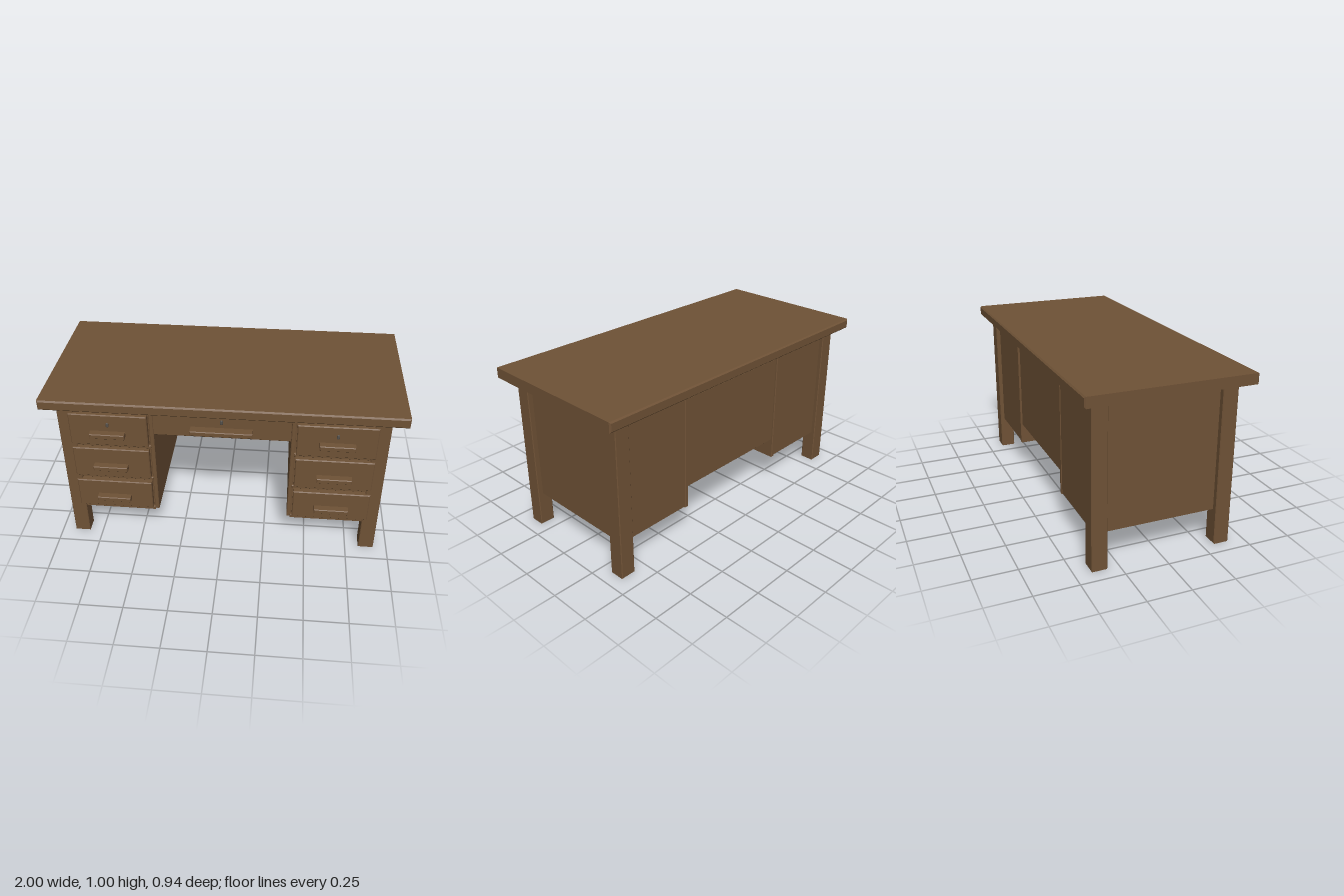
import * as THREE from 'three';

const wood = new THREE.MeshStandardMaterial({ color: 0x6f5236 });
wood.name = 'brown wood';
const metal = new THREE.MeshStandardMaterial({ color: 0x55504a });
metal.name = 'lock metal';

// Box with chamfered edges, given by its min and max corners
function block(parent, name, [x0, x1], [y0, y1], [z0, z1], bevel = 0.004, material = wood) {
  const w = (x1 - x0) / 2 - bevel, h = (y1 - y0) / 2 - bevel, d = z1 - z0 - 2 * bevel;
  const shape = new THREE.Shape([
    new THREE.Vector2(-w, -h), new THREE.Vector2(w, -h),
    new THREE.Vector2(w, h), new THREE.Vector2(-w, h),
  ]);
  const geometry = new THREE.ExtrudeGeometry(shape, {
    depth: d, bevelEnabled: true, bevelSegments: 1, bevelSize: bevel, bevelThickness: bevel,
  });
  geometry.translate(0, 0, -d / 2);
  const mesh = new THREE.Mesh(geometry, material);
  mesh.name = name;
  mesh.position.set((x0 + x1) / 2, (y0 + y1) / 2, (z0 + z1) / 2);
  parent.add(mesh);
  return mesh;
}

// Small upright lock plate with rounded ends
function lock(parent, x, y, z) {
  const mesh = new THREE.Mesh(new THREE.CapsuleGeometry(0.008, 0.014, 4, 10), metal);
  mesh.name = 'lock';
  mesh.scale.z = 0.6;
  mesh.position.set(x, y, z);
  parent.add(mesh);
}

// One drawer pedestal; s = 1 is the left side, -1 the right side
function pedestal(s) {
  const group = new THREE.Group();
  group.name = s > 0 ? 'leftPedestal' : 'rightPedestal';
  const span = (a, b) => (s > 0 ? [a, b] : [-b, -a]);

  for (const z of [0.363, -0.363])
    block(group, 'leg', span(0.83, 0.92), [0, 0.912], [z - 0.045, z + 0.045]);

  // Carcass
  block(group, 'carcass', span(0.4, 0.89), [0.205, 0.942], [-0.383, 0.385]);
  block(group, 'innerPanel', span(0.385, 0.41), [0.2, 0.94], [-0.387, 0.39]);

  // Rails between the drawers
  for (const [y0, y1] of [[0.2, 0.225], [0.43, 0.45], [0.662, 0.682], [0.895, 0.912]])
    block(group, 'rail', span(0.405, 0.835), [y0, y1], [0.37, 0.4], 0.003);

  // Drawers with bar handles
  for (const [y0, y1, handleY] of [[0.23, 0.42, 0.31], [0.455, 0.657, 0.54], [0.685, 0.89, 0.77]]) {
    block(group, 'drawerFront', span(0.415, 0.857), [y0, y1], [0.38, 0.42], 0.005);
    block(group, 'drawerHandle', span(0.54, 0.737), [handleY - 0.015, handleY + 0.015], [0.415, 0.46], 0.004);
  }
  lock(group, s * 0.638, 0.826, 0.42);
  return group;
}

export function createModel() {
  const desk = new THREE.Group();
  desk.name = 'desk';

  block(desk, 'desktop', [-1, 1], [0.94, 1], [-0.472, 0.472], 0.008);
  desk.add(pedestal(1), pedestal(-1));

  // Panel closing the back of the knee space
  block(desk, 'modestyPanel', [-0.39, 0.39], [0.325, 0.88], [-0.375, -0.35], 0.003);

  // Wide centre drawer
  const drawer = new THREE.Group();
  drawer.name = 'centreDrawer';
  block(drawer, 'drawerFront', [-0.384, 0.384], [0.772, 0.91], [0.37, 0.41], 0.003);
  block(drawer, 'drawerTray', [-0.384, 0.384], [0.785, 0.88], [-0.3, 0.372], 0.003);
  block(drawer, 'drawerHandle', [-0.172, 0.172], [0.811, 0.84], [0.405, 0.46], 0.004);
  lock(drawer, 0, 0.88, 0.415);
  desk.add(drawer);

  return desk;
}
